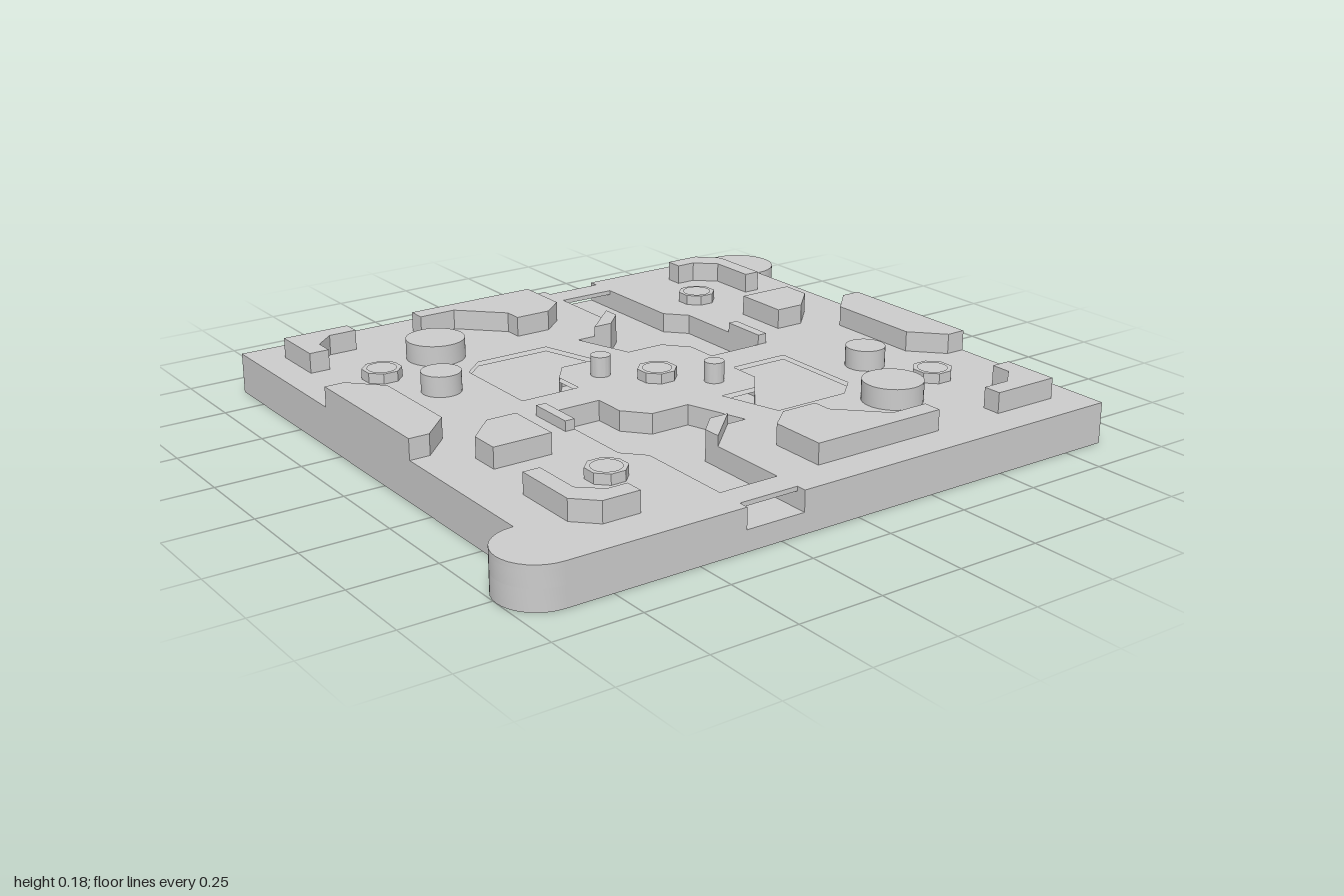
import * as THREE from 'three';
import { toCreasedNormals } from 'three/addons/utils/BufferGeometryUtils.js';

const material = new THREE.MeshStandardMaterial({ color: 0xcccccc });
const FLOOR = 0.06, ROOF = 0.107, TOP = 0.12, LOW = 0.15, HIGH = 0.18;

// plan points are [x, z]
const toVecs = (pts) => pts.map(([x, z]) => new THREE.Vector2(x, -z));
const turn = (pts) => pts.map(([x, z]) => [-x, -z]);

// extrude a plan outline between two heights
function slab(name, pts, y0, y1, holes = []) {
  const shape = new THREE.Shape(toVecs(pts));
  holes.forEach((h) => shape.holes.push(new THREE.Path(toVecs(h))));
  const geo = new THREE.ExtrudeGeometry(shape, { depth: y1 - y0, bevelEnabled: false });
  geo.rotateX(-Math.PI / 2).translate(0, y0, 0);
  const mesh = new THREE.Mesh(toCreasedNormals(geo, 0.5), material);
  mesh.name = name;
  return mesh;
}

function ring(cx, cz, r, n, offset = 0) {
  return Array.from({ length: n }, (_, i) => {
    const a = ((i + offset) / n) * Math.PI * 2;
    return [cx + r * Math.cos(a), cz + r * Math.sin(a)];
  });
}

const peg = (name, x, z, r, h) => slab(name, ring(x, z, r, 32), TOP, h);
const socket = (x, z) =>
  slab('socket', ring(x, z, 0.058, 8, 0.5), TOP, LOW, [ring(x, z, 0.042, 24)]);

// sunken pockets
const longPocket = [
  [-0.18, 0.77], [-0.18, 0.47], [-0.12, 0.41], [0, 0.41], [-0.06, 0.23], [-0.18, 0.23],
  [-0.24, 0.16], [-0.24, 0.06], [-0.415, 0.06], [-0.415, 0.41], [-0.36, 0.47], [-0.36, 0.77],
];
const shortPocket = [
  [0.06, 0.23], [0.175, 0.23], [0.23, 0.16], [0.23, 0.06],
  [0.415, 0.06], [0.415, 0.35], [0.35, 0.41], [0.115, 0.41],
];

// square plate with two rounded ears; inset cuts into the front and back edges
function plate(inset = []) {
  const half = [[0.88, 0.88], ...inset, [-0.88, 0.88]];
  for (let i = 0; i <= 16; i++) {
    const a = Math.PI / 2 + (i / 16) * Math.PI;
    half.push([-0.885 + 0.115 * Math.cos(a), 0.765 + 0.115 * Math.sin(a)]);
  }
  half.push([-0.88, 0.65]);
  return [...half, ...turn(half)];
}

// raised details of one half; the other half is the same turned by 180 degrees
function halfDetails() {
  const g = new THREE.Group();
  const blocks = {
    edgeBlock: [[-0.88, -0.33], [-0.82, -0.33], [-0.735, -0.24], [-0.735, 0.06], [-0.82, 0.145], [-0.88, 0.145]],
    chamferedBlock: [[-0.56, 0.145], [-0.56, 0.32], [-0.735, 0.32], [-0.735, 0.23], [-0.65, 0.145]],
    leftCornerBracket: [
      [-0.76, 0.5], [-0.71, 0.5], [-0.71, 0.65], [-0.65, 0.705],
      [-0.59, 0.705], [-0.59, 0.76], [-0.7, 0.76], [-0.76, 0.7],
    ],
    frontBracket: [
      [-0.05, 0.605], [0.02, 0.545], [0.13, 0.545], [0.13, 0.6],
      [0.25, 0.72], [0.365, 0.72], [0.365, 0.775], [-0.05, 0.775],
    ],
    rightCornerBracket: [
      [0.585, 0.775], [0.79, 0.775], [0.79, 0.605], [0.73, 0.605],
      [0.73, 0.665], [0.67, 0.72], [0.585, 0.72],
    ],
  };
  for (const [name, pts] of Object.entries(blocks)) g.add(slab(name, pts, TOP, HIGH));

  // low lips beside the long pocket
  g.add(slab('diagonalLip', [[-0.18, 0.47], [-0.18, 0.525], [-0.06, 0.41], [-0.12, 0.41]], TOP, LOW));
  g.add(slab('sideLip', [[-0.445, 0.06], [-0.415, 0.06], [-0.415, 0.205], [-0.445, 0.205]], TOP, LOW));

  g.add(peg('largePeg', 0.425, 0.525, 0.087, HIGH));
  g.add(peg('mediumPeg', 0.555, 0.262, 0.058, HIGH));
  g.add(peg('smallPin', 0.117, 0.115, 0.029, HIGH));
  g.add(socket(0.64, 0.455), socket(-0.53, 0.525));
  return g;
}

export function createModel() {
  const model = new THREE.Group();
  model.name = 'tile';

  // base in three layers: floor, pockets with side tunnels, and top skin with edge notches
  const shorts = [shortPocket, turn(shortPocket)];
  const tunnel = [[-0.18, 0.88], ...longPocket, [-0.36, 0.88]];
  const notch = [[-0.18, 0.88], [-0.18, 0.85], [-0.36, 0.85], [-0.36, 0.88]];
  model.add(slab('baseFloor', plate(), 0, FLOOR));
  model.add(slab('baseWalls', plate(tunnel), FLOOR, ROOF, shorts));
  model.add(slab('baseTop', plate(notch), ROOF, TOP, [...shorts, longPocket, turn(longPocket)]));

  const front = halfDetails();
  front.name = 'frontDetails';
  const back = halfDetails();
  back.name = 'backDetails';
  back.rotation.y = Math.PI;
  model.add(front, back);

  const centre = socket(0, 0);
  centre.name = 'centreSocket';
  model.add(centre);
  return model;
}
